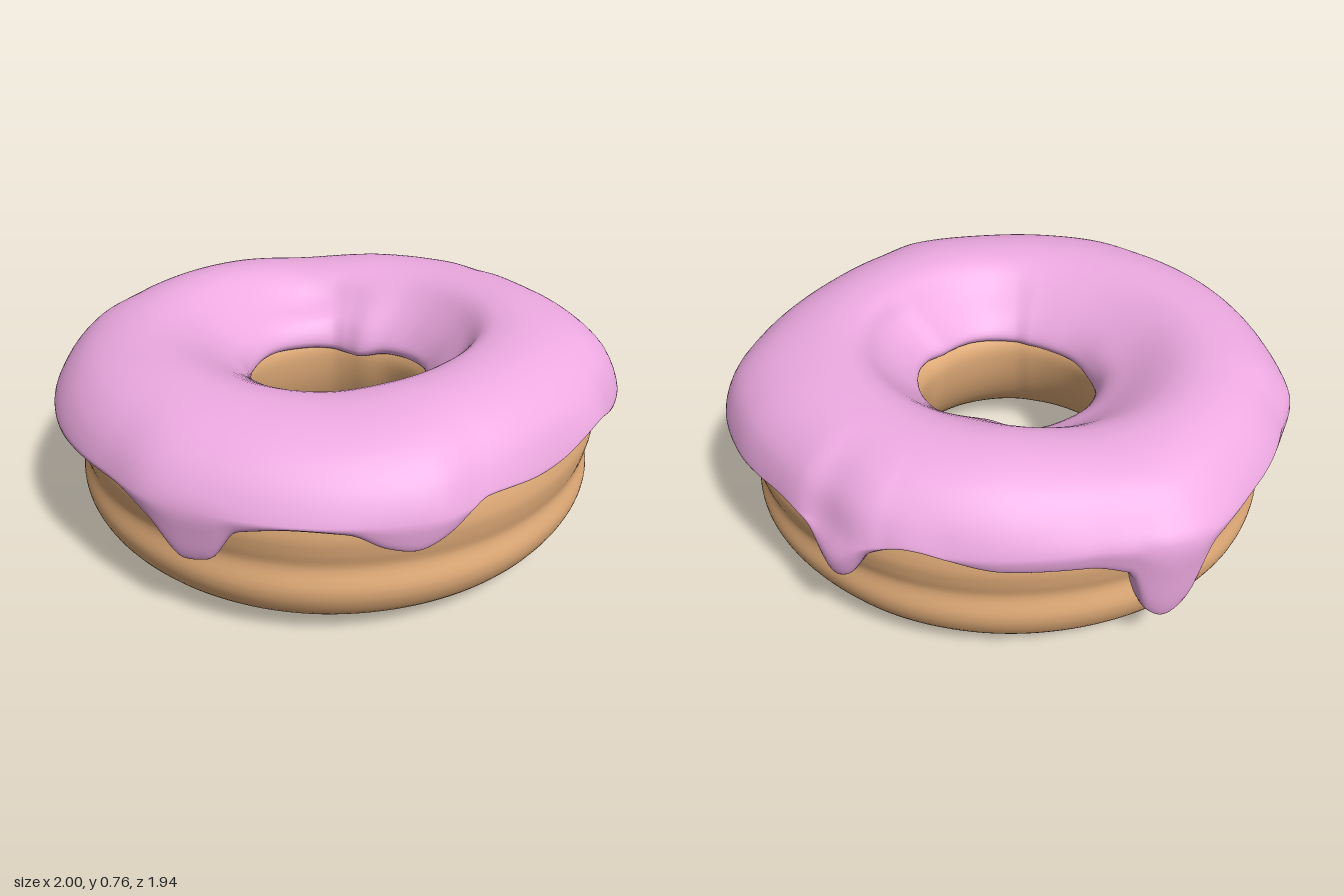
import * as THREE from 'three';

// Smooth periodic interpolation through [degrees, value] keys, without overshoot
function ring(keys) {
  const n = keys.length;
  const at = i => {
    const w = Math.floor(i / n), k = keys[i - w * n];
    return [k[0] + 360 * w, k[1]];
  };
  const slope = i => {
    const [a, b, c] = [at(i - 1), at(i), at(i + 1)];
    const d0 = (b[1] - a[1]) / (b[0] - a[0]), d1 = (c[1] - b[1]) / (c[0] - b[0]);
    return d0 * d1 > 0 ? (2 * d0 * d1) / (d0 + d1) : 0;
  };
  return deg => {
    let i = -1;
    while (at(i + 1)[0] <= deg) i++;
    const [x0, y0] = at(i), [x1, y1] = at(i + 1), h = x1 - x0, t = (deg - x0) / h;
    const t2 = t * t, t3 = t2 * t;
    return (2 * t3 - 3 * t2 + 1) * y0 + (t3 - 2 * t2 + t) * h * slope(i)
      + (3 * t2 - 2 * t3) * y1 + (t3 - t2) * h * slope(i + 1);
  };
}

// Sweeps a cross-section of [radius, height] points, given per angle, around the y axis
function sweep(section, closed, angles, steps) {
  const pos = [], index = [], row = closed ? steps : steps + 1;
  for (let a = 0; a < angles; a++) {
    const deg = (a / angles) * 360, rad = THREE.MathUtils.degToRad(deg);
    const curve = new THREE.CatmullRomCurve3(
      section(deg).map(([r, y]) => new THREE.Vector3(r, y, 0)), closed);
    for (let s = 0; s < row; s++) {
      const p = curve.getPoint(s / steps);
      pos.push(p.x * Math.cos(rad), p.y, p.x * Math.sin(rad));
    }
  }
  for (let a = 0; a < angles; a++) {
    const b = (a + 1) % angles;
    for (let s = 0; s < steps; s++) {
      const t = (s + 1) % row;
      const i = a * row + s, j = b * row + s, k = a * row + t, l = b * row + t;
      index.push(i, j, k, j, l, k);
    }
  }
  const geo = new THREE.BufferGeometry();
  geo.setAttribute('position', new THREE.Float32BufferAttribute(pos, 3));
  geo.setIndex(index);
  geo.computeVertexNormals();
  return geo;
}

// Outer icing radius around the ring
const outer = ring([[1, 1.0], [8, 0.975], [16, 0.975], [35, 1.02], [50, 1.05], [65, 1.01],
  [90, 0.965], [105, 0.975], [118, 1.02], [131, 1.015], [157, 1.01], [168, 1.015],
  [183, 0.99], [208, 1.0], [224, 1.0], [240, 1.01], [253, 0.975], [270, 0.975],
  [290, 1.005], [296, 0.99], [303, 0.95], [311, 0.92], [322, 0.915], [331, 0.92], [350, 0.95]]);
// How far the icing's upper side stays inside the flared drip
const flare = ring([[2, 0.045], [12, 0], [180, 0], [352, 0]]);
// Radius of the hole
const inner = ring([[0, 0.3], [21, 0.325], [45, 0.35], [70, 0.36], [80, 0.355], [94, 0.33],
  [117, 0.335], [146, 0.325], [157, 0.305], [180, 0.29], [211, 0.29], [240, 0.3],
  [270, 0.3], [290, 0.298], [317, 0.307], [328, 0.29], [341, 0.272]]);
// Height of the outer icing edge, with its drips
const edge = ring([[2, 0.32], [5, 0.35], [9, 0.46], [15, 0.49], [33, 0.455], [43, 0.415],
  [52, 0.42], [71, 0.51], [89, 0.475], [107, 0.5], [115, 0.43], [121, 0.39], [126, 0.41],
  [133, 0.47], [141, 0.48], [152, 0.45], [158, 0.32], [163, 0.3], [170, 0.42], [178, 0.47],
  [195, 0.46], [209, 0.43], [222, 0.46], [234, 0.47], [239, 0.41], [242, 0.3], [245, 0.27],
  [248, 0.31], [253, 0.45], [265, 0.48], [278, 0.47], [286, 0.43], [291, 0.21], [295, 0.16],
  [299, 0.21], [303, 0.39], [312, 0.425], [328, 0.435], [346, 0.5], [354, 0.46], [359, 0.34]]);
// Height and radius of the icing's crest
const crestY = ring([[0, 0.745], [42, 0.76], [75, 0.755], [115, 0.745], [140, 0.73],
  [180, 0.735], [230, 0.72], [270, 0.715], [300, 0.705], [335, 0.735]]);
const crestR = ring([[0, 0.63], [50, 0.66], [90, 0.64], [180, 0.66], [270, 0.67], [318, 0.61]]);
// Height of the icing edge in the hole
const innerEdge = ring([[0, 0.47], [35, 0.49], [65, 0.5], [110, 0.49], [150, 0.47],
  [190, 0.47], [230, 0.45], [270, 0.47], [300, 0.46], [335, 0.44]]);

const doughRadius = ring([[0, 0.918], [45, 0.97], [90, 0.95], [135, 0.95], [180, 0.935],
  [270, 0.925], [318, 0.89]]);

// Dough profile: over the top, down the waisted outer side, under and up the hole
const doughProfile = [[0.4, 0.55], [0.5, 0.64], [0.65, 0.67], [0.8, 0.63], [0.9, 0.54],
  [0.93, 0.43], [0.922, 0.36], [0.909, 0.3], [0.925, 0.22], [0.915, 0.16], [0.87, 0.085],
  [0.78, 0.025], [0.7, 0.004], [0.62, 0.008], [0.52, 0.045], [0.43, 0.13], [0.365, 0.25],
  [0.332, 0.38], [0.335, 0.46]];

function doughSection(deg) {
  const grow = doughRadius(deg) - 0.93, hole = 0.5 * (inner(deg) - 0.31);
  // The base rises slightly towards the front
  const lift = 0.008 * (1 + Math.sin(THREE.MathUtils.degToRad(deg)));
  return doughProfile.map(([r, y]) => {
    const t = THREE.MathUtils.clamp((r - 0.34) / 0.59, 0, 1);
    return [r + THREE.MathUtils.lerp(hole, grow, t), y + lift * Math.max(0, 1 - y / 0.3)];
  });
}

// Icing section: from the lip in the hole over the crest to the rounded outer lip
function icingSection(deg) {
  const ri = inner(deg), ro = outer(deg), yi = innerEdge(deg), yo = edge(deg);
  const cr = crestR(deg), cy = crestY(deg), top = ro - flare(deg), w = top - cr;
  const shoulder = Math.max(0.51, yo + 0.03);
  // Long drips lean in towards the dough
  const lean = 0.08 * Math.max(0, 0.48 - yo);
  return [
    [ri + 0.08, yi + 0.02], [ri + 0.02, yi], [ri, yi + 0.03],
    [ri + 0.035, Math.max(0.56, yi + 0.08)], [ri + 0.13, cy - 0.095], [cr - 0.1, cy - 0.02],
    [cr, cy], [cr + 0.33 * w, cy - 0.014], [cr + 0.63 * w, cy - 0.058],
    [cr + 0.87 * w, cy - 0.135], [top, shoulder],
    [ro - lean * 0.3, (shoulder + yo + 0.012) / 2], [ro - lean - 0.009, yo + 0.012],
    [ro - lean - 0.028, yo], [Math.min(ro - 0.065, doughRadius(deg) - 0.04), yo + 0.015],
  ];
}

export function createModel() {
  const model = new THREE.Group();
  model.name = 'donut';
  const add = (name, geo, color) => {
    const mesh = new THREE.Mesh(geo, new THREE.MeshStandardMaterial({ color, side: THREE.DoubleSide }));
    mesh.name = name;
    model.add(mesh);
  };
  add('dough', sweep(doughSection, true, 144, 76), 0xe4ae7a);
  add('icing', sweep(icingSection, false, 360, 56), 0xeeaae2);
  return model;
}
